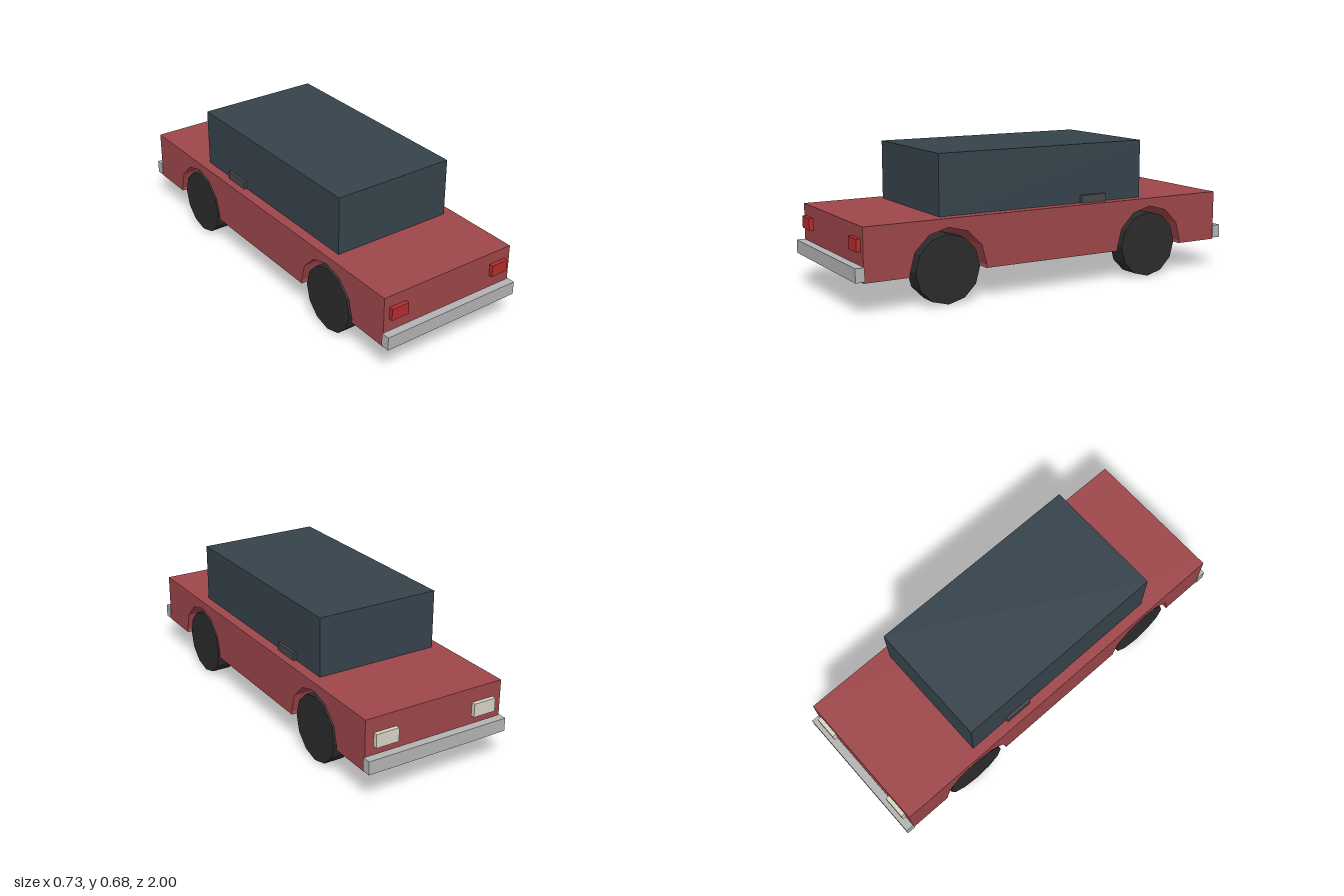
import * as THREE from 'three';

const material = (color) => new THREE.MeshStandardMaterial({ color, flatShading: true });

export function createModel() {
  const car = new THREE.Group();
  car.name = 'car';
  const red = material(0x9e464a), glass = material(0x36434c), rubber = material(0x2c2c2c);
  const chrome = material(0xb4b4b4), tailRed = material(0xb82c2e);
  const lampWhite = material(0xd8d4c4), dark = material(0x48484c);

  const add = (name, geometry, mat) => {
    const mesh = new THREE.Mesh(geometry, mat);
    mesh.name = name;
    car.add(mesh);
    return mesh;
  };
  // Box given by its minimum and maximum on each axis
  const box = (name, mat, [x0, x1], [y0, y1], [z0, z1]) =>
    add(name, new THREE.BoxGeometry(x1 - x0, y1 - y0, z1 - z0), mat)
      .position.set((x0 + x1) / 2, (y0 + y1) / 2, (z0 + z1) / 2);

  // Body: side outline with faceted wheel arches, extruded across the width
  const bottom = 0.147, top = 0.392, halfLength = 0.96, halfWidth = 0.358;
  const axleZ = 0.553, axleY = 0.16, archRadius = 0.192;
  const outline = new THREE.Shape();
  outline.moveTo(-halfLength, bottom);
  for (const centre of [-axleZ, axleZ]) {
    outline.lineTo(centre - 0.1885, bottom);
    for (let i = 6; i >= 0; i--) {
      const a = (i * Math.PI) / 6;
      outline.lineTo(centre + archRadius * Math.cos(a), axleY + archRadius * Math.sin(a));
    }
    outline.lineTo(centre + 0.1885, bottom);
  }
  outline.lineTo(halfLength, bottom);
  outline.lineTo(halfLength, top);
  outline.lineTo(-halfLength, top);
  const bodyGeometry = new THREE.ExtrudeGeometry(outline, { depth: 2 * halfWidth, bevelEnabled: false });
  bodyGeometry.translate(0, 0, -halfWidth).rotateY(Math.PI / 2);
  add('body', bodyGeometry, red);

  // Cabin
  box('cabin', glass, [-0.307, 0.307], [top, 0.675], [-0.525, 0.575]);

  // Bumpers at both ends
  box('frontBumper', chrome, [-0.363, 0.363], [0.154, 0.218], [0.957, 1]);
  box('rearBumper', chrome, [-0.363, 0.363], [0.154, 0.218], [-1, -0.957]);

  // Twelve-sided wheels, lamps and side handles, mirrored left and right
  const wheel = new THREE.CylinderGeometry(0.16, 0.16, 0.096, 12).rotateZ(Math.PI / 2);
  for (const side of [-1, 1]) {
    const label = side > 0 ? 'left' : 'right';
    const span = (a, b) => (side > 0 ? [a, b] : [-b, -a]);
    add(label + 'FrontWheel', wheel, rubber).position.set(side * 0.302, axleY, axleZ);
    add(label + 'RearWheel', wheel, rubber).position.set(side * 0.302, axleY, -axleZ);
    box(label + 'RedLamp', tailRed, span(0.24, 0.33), [0.28, 0.337], [0.95, 0.98]);
    box(label + 'WhiteLamp', lampWhite, span(0.2, 0.315), [0.257, 0.322], [-0.98, -0.95]);
    box(label + 'Handle', dark, span(0.295, 0.321), [0.385, 0.43], [-0.317, -0.176]);
  }
  return car;
}
